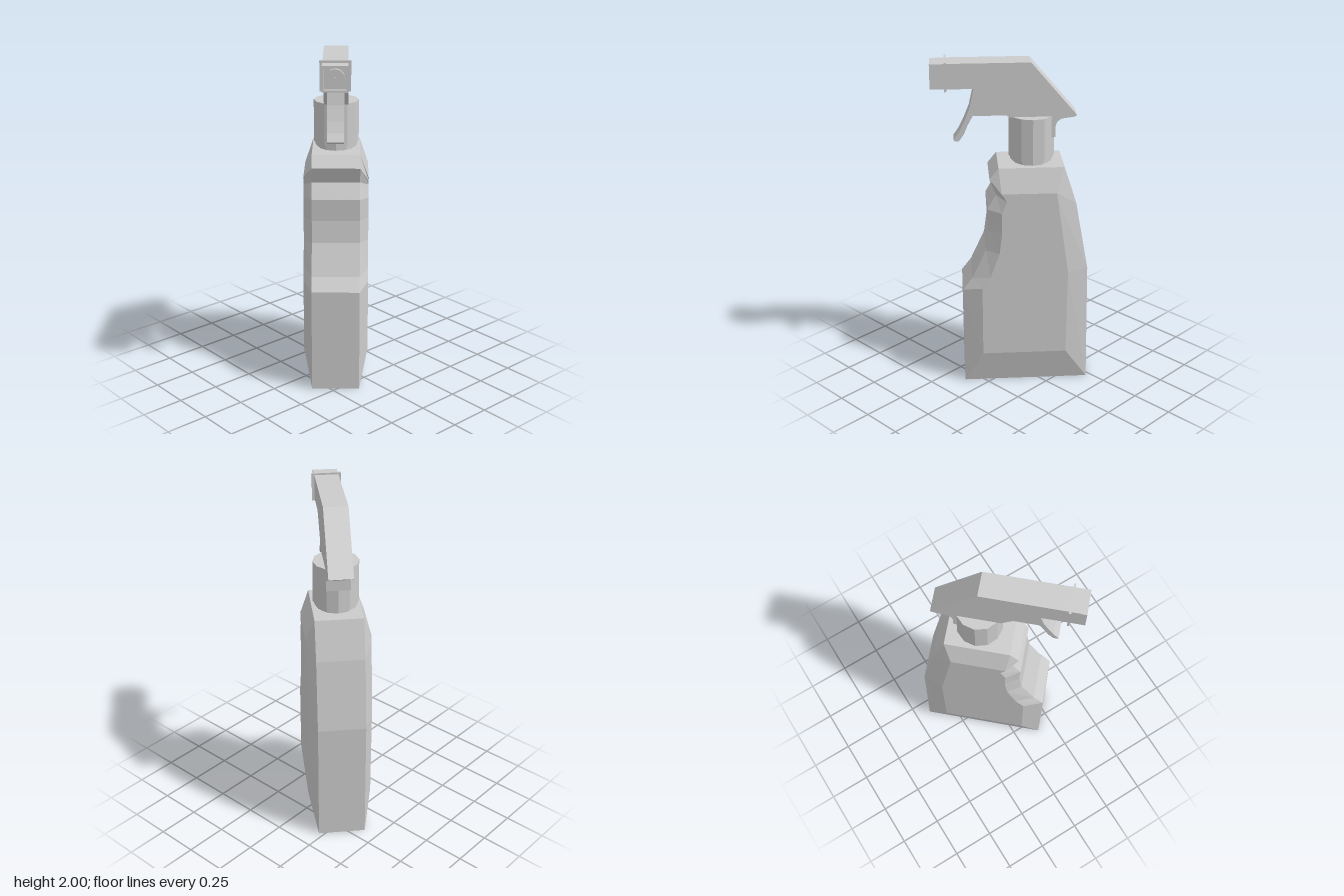
import * as THREE from 'three';

const material = new THREE.MeshStandardMaterial({ color: 0xcccccc, flatShading: true });

function add(parent, name, geometry, x = 0, y = 0, z = 0) {
  const mesh = new THREE.Mesh(geometry, material);
  mesh.name = name;
  mesh.position.set(x, y, z);
  parent.add(mesh);
  return mesh;
}

const vec = (points) => points.map(([x, y]) => new THREE.Vector2(x, y));

// Side profile (x forward, y up) extruded evenly to both sides
function slab(points, halfWidth) {
  const geometry = new THREE.ExtrudeGeometry(new THREE.Shape(vec(points)), {
    depth: 2 * halfWidth, bevelEnabled: false,
  });
  return geometry.translate(0, 0, -halfWidth);
}

// Bottle: rim outline at the narrow width, inset outline at the full width
function bottleGeometry() {
  const rim = [
    [-0.42, 0], [0.328, 0], [0.331, 0.625], [0.274, 0.7], [0.192, 0.88], [0.175, 1.01], [0.181, 1.14],
    [0.13, 1.23], [0.167, 1.325], [0.115, 1.39], [-0.262, 1.39], [-0.336, 1.165], [-0.411, 0.745],
  ];
  const inset = [
    [-0.284, 0.21], [0.217, 0.21], [0.217, 0.65], [0.169, 0.72], [0.114, 0.875], [0.098, 1.01], [0.1, 1.13],
    [0.07, 1.2], [0.085, 1.23], [0.1, 1.25], [-0.218, 1.25], [-0.222, 1.22], [-0.29, 0.745],
  ];
  const n = rim.length;
  const rings = [[inset, -0.19], [rim, -0.14], [rim, 0.14], [inset, 0.19]];
  const positions = [];
  const index = [];
  for (const [loop, z] of rings) for (const [x, y] of loop) positions.push(x, y, z);
  for (let k = 0; k < 3; k++) {
    for (let i = 0; i < n; i++) {
      const j = (i + 1) % n;
      const a = k * n + i, b = k * n + j, c = b + n, d = a + n;
      index.push(a, b, c, a, c, d);
    }
  }
  for (const [a, b, c] of THREE.ShapeUtils.triangulateShape(vec(inset), [])) {
    index.push(3 * n + a, 3 * n + b, 3 * n + c, c, b, a);
  }
  const geometry = new THREE.BufferGeometry();
  geometry.setAttribute('position', new THREE.Float32BufferAttribute(positions, 3));
  geometry.setIndex(index);
  const flat = geometry.toNonIndexed();
  flat.computeVertexNormals();
  return flat;
}

export function createModel() {
  const model = new THREE.Group();
  model.name = 'sprayBottle';

  add(model, 'bottle', bottleGeometry());

  // Neck and screw cap
  const neckX = -0.083;
  add(model, 'neck', new THREE.CylinderGeometry(0.108, 0.108, 0.06, 12), neckX, 1.4, 0);
  add(model, 'capRim', new THREE.CylinderGeometry(0.123, 0.123, 0.02, 12), neckX, 1.412, 0);
  add(model, 'screwCap', new THREE.CylinderGeometry(0.132, 0.132, 0.25, 12), neckX, 1.547, 0);

  // Spray head with the short skirt behind the cap
  add(model, 'sprayHead', slab([
    [-0.338, 1.677], [-0.325, 1.668], [-0.25, 1.658], [-0.225, 1.64], [-0.215, 1.61], [-0.215, 1.547],
    [-0.16, 1.547], [-0.16, 1.672], [0.05, 1.672], [0.227, 1.842], [0.41, 1.842], [0.41, 1.988], [-0.075, 1.988],
  ], 0.07));

  // Curved trigger
  add(model, 'trigger', slab([
    [0.245, 1.85], [0.257, 1.79], [0.273, 1.72], [0.305, 1.64], [0.335, 1.58], [0.366, 1.535], [0.358, 1.525],
    [0.335, 1.527], [0.305, 1.57], [0.285, 1.62], [0.254, 1.676], [0.05, 1.676], [0.05, 1.69], [0.215, 1.85],
  ].reverse(), 0.047));

  // Nozzle: collar, open square housing, round insert and orifice
  const nozzleY = 1.915;
  const square = (s) => vec([[-s, -s], [s, -s], [s, s], [-s, s]]);
  add(model, 'nozzleCollar', new THREE.BoxGeometry(0.012, 0.168, 0.17), 0.405, nozzleY, 0);
  add(model, 'nozzleBase', new THREE.BoxGeometry(0.06, 0.144, 0.14), 0.435, nozzleY, 0);
  const frame = new THREE.Shape(square(0.071));
  frame.holes.push(new THREE.Path(square(0.06).reverse()));
  const housing = new THREE.ExtrudeGeometry(frame, { depth: 0.027, bevelEnabled: false });
  add(model, 'nozzleHousing', housing.rotateY(Math.PI / 2), 0.465, nozzleY, 0);
  const disc = (r, d) => new THREE.CylinderGeometry(r, r, d, 12).rotateZ(-Math.PI / 2);
  add(model, 'nozzleInsert', disc(0.054, 0.022), 0.475, nozzleY, 0);
  add(model, 'orifice', disc(0.009, 0.006), 0.487, nozzleY, 0);

  // The bottle stands turned, spraying towards the front right
  model.rotation.y = -2.304;
  model.position.set(-0.004, 0, -0.003);
  const root = new THREE.Group();
  root.name = 'turnedSprayBottle';
  root.add(model);
  return root;
}
